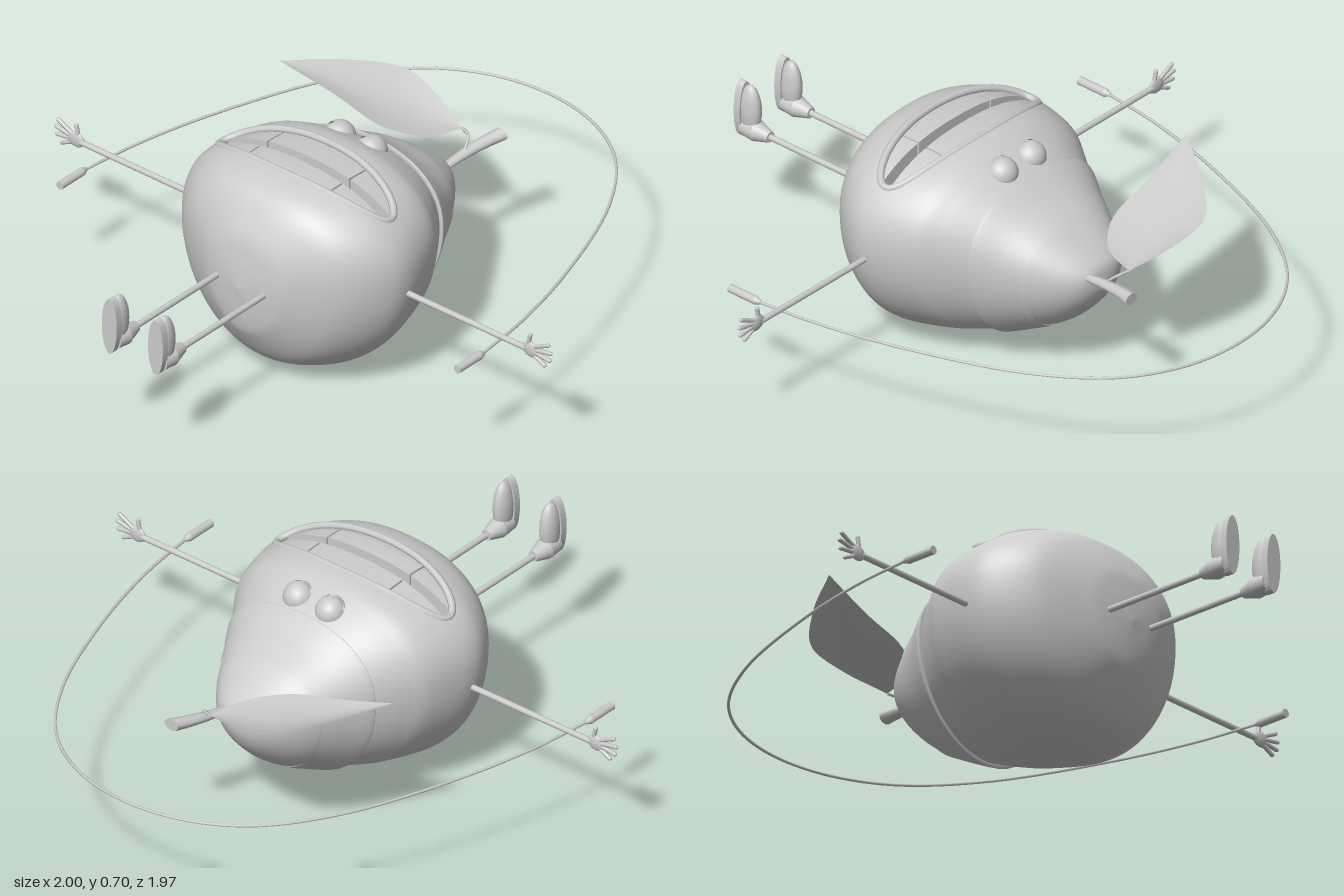
import * as THREE from 'three';

const grey = new THREE.MeshStandardMaterial({ color: 0xcccccc });
const thin = new THREE.MeshStandardMaterial({ color: 0xcccccc, side: THREE.DoubleSide });
const V = (x, y, z) => new THREE.Vector3(x, y, z);

function add(parent, name, geometry, material = grey) {
  const mesh = new THREE.Mesh(geometry, material);
  mesh.name = name;
  parent.add(mesh);
  return mesh;
}

// Surface from a rule fn(u, v) -> Vector3; faces whose corners are all cut are left out
function grid(nu, nv, fn, closed = false, cut = () => false) {
  const pos = [], holes = [], index = [];
  const cols = closed ? nv : nv + 1;
  for (let i = 0; i <= nu; i++) for (let j = 0; j < cols; j++) {
    const p = fn(i / nu, j / nv);
    holes.push(cut(p));
    pos.push(p.x, p.y, p.z);
  }
  for (let i = 0; i < nu; i++) for (let j = 0; j < nv; j++) {
    const k = (j + 1) % cols;
    const a = i * cols + j, b = a + cols, c = (i + 1) * cols + k, d = i * cols + k;
    if (holes[a] && holes[b] && holes[c] && holes[d]) continue;
    index.push(a, b, d, b, c, d);
  }
  const g = new THREE.BufferGeometry();
  g.setAttribute('position', new THREE.Float32BufferAttribute(pos, 3));
  g.setIndex(index);
  g.computeVertexNormals();
  return g;
}

// Cross-sections along z: [z, half width, top y, bottom y]
const bodySections = [
  [0.487, 0.001, 0.361, 0.359], [0.475, 0.1, 0.46, 0.235], [0.45, 0.18, 0.55, 0.17],
  [0.375, 0.315, 0.653, 0.066], [0.27, 0.4, 0.692, 0.012], [0.17, 0.425, 0.695, 0],
  [0.03, 0.392, 0.686, 0.028], [-0.05, 0.345, 0.655, 0.052], [-0.15, 0.27, 0.595, 0.09],
];
const bandSections = [
  [-0.13, 0.268, 0.59, 0.095], [-0.132, 0.293, 0.618, 0.072],
  [-0.145, 0.292, 0.612, 0.075], [-0.21, 0.25, 0.566, 0.108], [-0.285, 0.208, 0.523, 0.148],
];
const capSections = [
  [-0.272, 0.19, 0.51, 0.165], [-0.275, 0.208, 0.527, 0.148], [-0.34, 0.168, 0.482, 0.195],
  [-0.4, 0.115, 0.437, 0.26], [-0.43, 0.065, 0.405, 0.315], [-0.438, 0.001, 0.361, 0.359],
];

function sectionCurve(list) {
  const a = new THREE.CatmullRomCurve3(list.map(s => V(s[0], s[1], s[2])), false, 'catmullrom', 0.5);
  const b = new THREE.CatmullRomCurve3(list.map(s => V(s[0], s[3], 0)), false, 'catmullrom', 0.5);
  return u => {
    const p = a.getPoint(u), bottom = b.getPoint(u).y;
    const cy = bottom + 0.6 * (p.z - bottom);
    return { z: p.x, w: p.y, cy, up: p.z - cy, down: cy - bottom };
  };
}

const P = 2.3; // squareness of the upper half
function ringPoint(s, v) {
  const t = v * Math.PI * 2, c = Math.cos(t), n = Math.sin(t);
  const e = n > 0 ? 2 / P : 1;
  return V(s.w * Math.sign(c) * Math.abs(c) ** e,
    s.cy + (n > 0 ? s.up : -s.down) * Math.abs(n) ** e, s.z);
}

const bodyAt = sectionCurve(bodySections);
const samples = Array.from({ length: 301 }, (_, i) => bodyAt(i / 300));
// Height of the upper body surface
function topY(x, z) {
  const s = samples.find(q => q.z <= z) || samples[300];
  return s.cy + s.up * Math.max(0, 1 - Math.abs(x / s.w) ** P) ** (1 / P);
}

// Mouth outline, seen from above
const mouth = { a: 0.34, b: 0.11, z: 0.165 };
const mouthPoint = (t, s = 1) => {
  const x = mouth.a * Math.cos(t) * s, z = mouth.z + mouth.b * Math.sin(t) * s;
  return V(x, topY(x, z), z);
};
const mouthEdge = x => mouth.b * Math.sqrt(Math.max(0, 1 - (x / mouth.a) ** 2));

function buildBody(group) {
  const inside = new Set();
  const body = grid(64, 96, (u, v) => {
    const p = ringPoint(bodyAt(u), v);
    const m = Math.hypot(p.x / mouth.a, (p.z - mouth.z) / mouth.b);
    if (p.y > 0.45 && m < 1) { // slide onto the mouth outline
      const q = mouthPoint(Math.atan2((p.z - mouth.z) / mouth.b, p.x / mouth.a));
      inside.add(q);
      return q;
    }
    return p;
  }, true, p => inside.has(p));
  add(group, 'body', body);
  const band = sectionCurve(bandSections), cap = sectionCurve(capSections);
  add(group, 'neckBand', grid(16, 48, (u, v) => ringPoint(band(u), v), true));
  add(group, 'crown', grid(20, 48, (u, v) => ringPoint(cap(u), v), true));
}

function buildMouth(group) {
  const scale = [1, 0.96, 0.9, 0], drop = [0, 0.5, 1, 1];
  add(group, 'mouthCavity', grid(3, 64, (u, v) => {
    const k = Math.round(u * 3), t = v * Math.PI * 2;
    const p = mouthPoint(t, scale[k]);
    p.y = THREE.MathUtils.lerp(mouthPoint(t).y, 0.5, drop[k]);
    return p;
  }, true), thin);
  const lip = Array.from({ length: 48 }, (_, i) => mouthPoint(i / 48 * Math.PI * 2).add(V(0, -0.006, 0)));
  add(group, 'lips', new THREE.TubeGeometry(new THREE.CatmullRomCurve3(lip, true), 96, 0.012, 8, true));
  // Teeth follow the curve of the body between the lips and the gap
  for (const side of [-1, 1]) for (const [x0, x1] of [[-0.325, -0.168], [-0.162, 0.162], [0.168, 0.325]]) {
    const g = new THREE.BoxGeometry(1, 1, 1, 10, 1, 3), p = g.attributes.position;
    for (let i = 0; i < p.count; i++) {
      const x = THREE.MathUtils.lerp(x0, x1, p.getX(i) + 0.5);
      const edge = mouthEdge(x) * 0.97, gap = Math.min(0.017, edge * 0.7);
      const f = p.getZ(i) + 0.5;
      const z = mouth.z + 0.005 + side * (side > 0 ? gap + (edge - gap) * f : edge + (gap - edge) * f);
      p.setXYZ(i, x, topY(x, z) - 0.014 - (p.getY(i) < 0 ? 0.075 : 0), z);
    }
    const flat = g.toNonIndexed();
    flat.computeVertexNormals();
    add(group, side < 0 ? 'upperTooth' : 'lowerTooth', flat);
  }
  const tongue = add(group, 'tongue', new THREE.SphereGeometry(1, 24, 12));
  tongue.scale.set(0.17, 0.05, 0.07);
  tongue.position.set(0, 0.53, 0.18);
}

function buildEye(side) {
  const eye = new THREE.Group();
  eye.name = 'eye';
  add(eye, 'eyeball', new THREE.SphereGeometry(0.046, 24, 16));
  const lid = (name, angle) => {
    const m = add(eye, name, new THREE.SphereGeometry(0.051, 24, 10, 0, Math.PI * 2, 0, Math.PI / 2), thin);
    m.rotation.x = angle;
  };
  lid('upperEyelid', -1.45);
  lid('lowerEyelid', 1.95);
  eye.position.set(side * 0.064, 0.622, -0.068);
  return eye;
}

// Rounded rod between two points
function rod(parent, name, a, b, r0, r1 = r0, sides = 10) {
  const m = add(parent, name, new THREE.CylinderGeometry(r1, r0, a.distanceTo(b), sides));
  m.position.copy(a).add(b).multiplyScalar(0.5);
  m.quaternion.setFromUnitVectors(V(0, 1, 0), b.clone().sub(a).normalize());
  return m;
}

function buildLimbs(group, s) {
  // Arm and open hand
  const z = 0.178;
  rod(group, 'arm', V(s * 0.4, 0.37, z), V(s * 0.895, 0.37, z), 0.01);
  const palm = add(group, 'palm', new THREE.SphereGeometry(1, 16, 10));
  palm.scale.set(0.033, 0.027, 0.01);
  palm.position.set(s * 0.915, 0.373, z);
  const fingers = [[0.905, 0.385, 0.913, 0.424], [0.93, 0.388, 0.985, 0.415], [0.935, 0.378, 0.994, 0.389],
    [0.935, 0.368, 0.99, 0.362], [0.925, 0.36, 0.97, 0.338]];
  for (const [x0, y0, x1, y1] of fingers) {
    const m = add(group, 'finger', new THREE.CapsuleGeometry(0.007, Math.hypot(x1 - x0, y1 - y0), 4, 8));
    m.position.set(s * (x0 + x1) / 2, (y0 + y1) / 2, z);
    m.rotation.z = -s * Math.atan2(x1 - x0, y1 - y0);
  }
  // Leg, sock and shoe with the toe pointing up
  const x = s * 0.093;
  rod(group, 'leg', V(x, 0.37, 0.44), V(x, 0.37, 0.9), 0.01);
  rod(group, 'ankle', V(x, 0.37, 0.86), V(x, 0.37, 0.915), 0.018, 0.034, 16);
  rod(group, 'heel', V(x, 0.37, 0.915), V(x, 0.37, 0.965), 0.035, 0.03, 16);
  const toe = add(group, 'shoe', new THREE.SphereGeometry(1, 20, 14));
  toe.scale.set(0.028, 0.09, 0.04);
  toe.position.set(x, 0.435, 0.942);
  const sole = new THREE.Shape().absellipse(0, 0, 0.03, 0.099, 0, Math.PI * 2);
  add(group, 'sole', new THREE.ExtrudeGeometry(sole, { depth: 0.025, bevelEnabled: false, curveSegments: 16 }))
    .position.set(x, 0.43, 0.96);
  // Skipping rope handle
  rod(group, 'ropeHandle', V(s * 0.8, 0.355, 0.285), V(s * 0.8, 0.355, 0.39), 0.014, 0.014, 12);
  rod(group, 'handleNeck', V(s * 0.8, 0.355, 0.265), V(s * 0.8, 0.355, 0.285), 0.006, 0.014, 12);
}

function buildStemAndLeaf(group) {
  const stem = new THREE.CylinderGeometry(0.027, 0.014, 0.235, 10, 6).rotateX(-Math.PI / 2);
  const p = stem.attributes.position;
  for (let i = 0; i < p.count; i++) {
    const t = 0.5 - p.getZ(i) / 0.235;
    p.setXYZ(i, p.getX(i) + 0.062 + 0.04 * t * t, p.getY(i) * 0.75 + 0.385 + 0.034 * t, p.getZ(i) - 0.517);
  }
  stem.computeVertexNormals();
  add(group, 'stem', stem);

  const edge = list => new THREE.CatmullRomCurve3(list.map(([x, z]) => V(x, 0, z)));
  const back = edge([[0.02, -0.55], [-0.13, -0.6], [-0.26, -0.606], [-0.395, -0.48], [-0.51, -0.308]]);
  const front = edge([[0.02, -0.55], [-0.02, -0.43], [-0.13, -0.35], [-0.315, -0.335], [-0.51, -0.308]]);
  add(group, 'leaf', grid(24, 8, (u, v) => {
    const q = back.getPoint(u).lerp(front.getPoint(u), v);
    q.y = 0.452 - 0.27 * q.x - 0.025 * Math.sin(v * Math.PI) * Math.sin(u * Math.PI);
    return q;
  }), thin);
  const stalk = new THREE.CatmullRomCurve3([V(0.02, 0.447, -0.55), V(0.055, 0.44, -0.535), V(0.072, 0.4, -0.49)]);
  add(group, 'leafStalk', new THREE.TubeGeometry(stalk, 10, 0.005, 6));
}

export function createModel() {
  const group = new THREE.Group();
  group.name = 'pearFigure';
  buildBody(group);
  buildMouth(group);
  for (const s of [-1, 1]) {
    group.add(buildEye(s));
    buildLimbs(group, s);
  }
  buildStemAndLeaf(group);
  // Skipping rope
  const half = [[0.8, 0.27], [0.772, 0.05], [0.7, -0.24], [0.556, -0.61], [0.395, -0.83], [0.21, -0.942]];
  const rope = [...half, [0, -0.979], ...half.map(([x, z]) => [-x, z]).reverse()];
  add(group, 'rope', new THREE.TubeGeometry(
    new THREE.CatmullRomCurve3(rope.map(([x, z]) => V(x, 0.355, z))), 96, 0.005, 6));
  return group;
}
